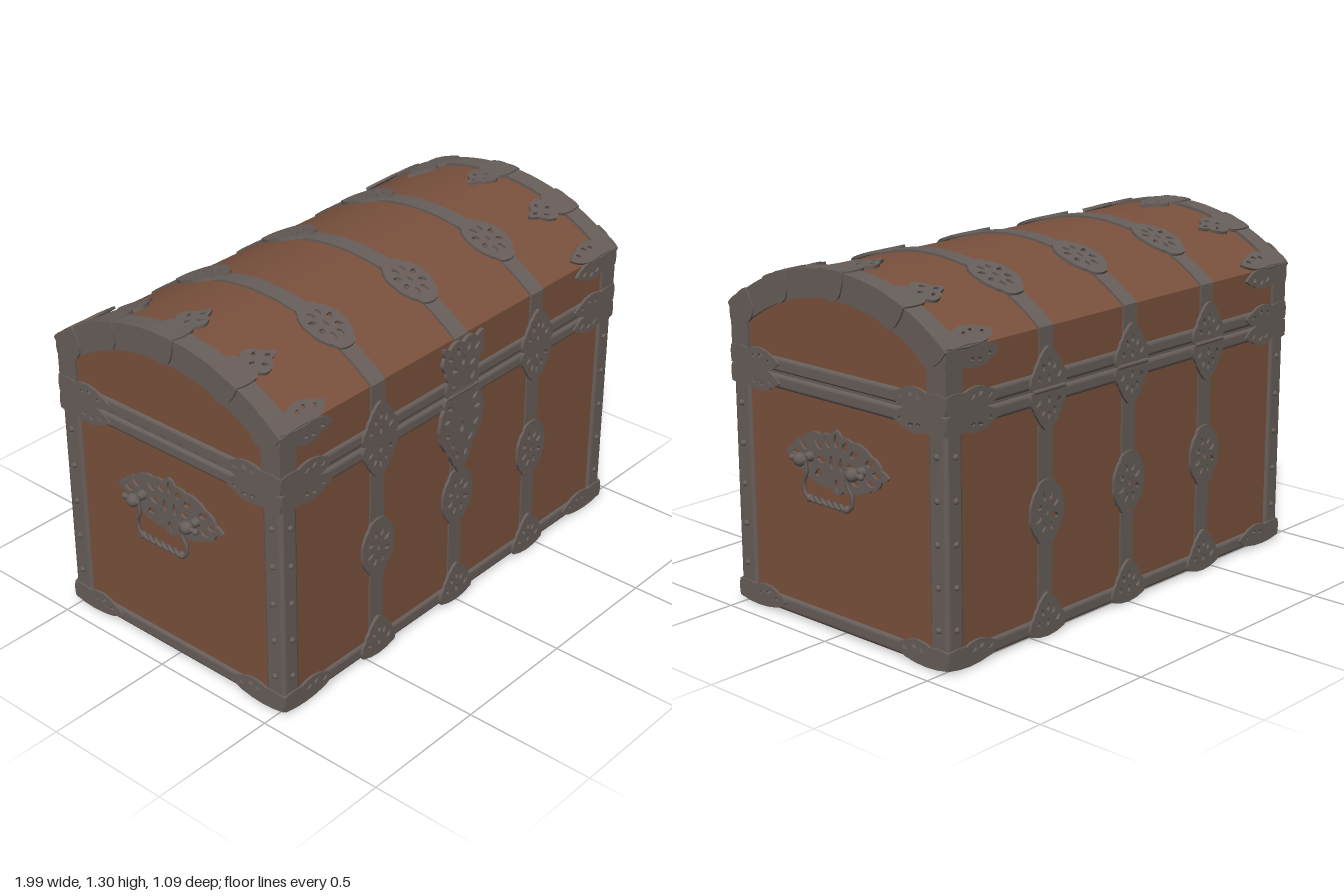
import * as THREE from 'three';
import { toCreasedNormals } from 'three/addons/utils/BufferGeometryUtils.js';
import { RoundedBoxGeometry } from 'three/addons/geometries/RoundedBoxGeometry.js';

const wood = new THREE.MeshStandardMaterial({ color: 0x7a513d });
wood.name = 'brown wood';
const metal = new THREE.MeshStandardMaterial({ color: 0x675e5a });
metal.name = 'grey iron';

const ARCH_Y = 0.456, ARCH_R = 0.83; // centre and radius of the lid arch

function add(parent, name, geo, mat, x = 0, y = 0, z = 0) {
  const m = new THREE.Mesh(geo, mat);
  m.name = name;
  m.position.set(x, y, z);
  parent.add(m);
  return m;
}

// Closed outline whose edges swell into scallops
function scallop(pts, bulge = 0.2, Type = THREE.Shape) {
  const v = pts.map(p => new THREE.Vector2(...p));
  const k = bulge * Math.sign(THREE.ShapeUtils.area(v));
  const s = new Type();
  s.moveTo(v[0].x, v[0].y);
  v.forEach((a, i) => {
    const b = v[(i + 1) % v.length], dx = b.x - a.x, dy = b.y - a.y;
    s.quadraticCurveTo((a.x + b.x) / 2 + dy * k, (a.y + b.y) / 2 - dx * k, b.x, b.y);
  });
  return s;
}
// Mirror a right-hand outline (bottom to top) across x = 0
const mirrored = pts => [...pts, ...pts.slice().reverse().filter(p => p[0] > 0).map(([x, y]) => [-x, y])];

// Pierced plate; each hole is [x, y, angle, length, width]
function plate(outline, holes, depth = 0.011, bulge = 0.2) {
  const shape = scallop(outline, bulge);
  for (const [x, y, a, l, w] of holes) {
    const c = Math.cos(a), s = Math.sin(a);
    const pts = [[l / 2, 0], [-l * 0.15, w / 2], [-l / 2, 0], [-l * 0.15, -w / 2]]
      .map(([p, q]) => [x + p * c - q * s, y + p * s + q * c]);
    shape.holes.push(scallop(pts, 0.2, THREE.Path));
  }
  return toCreasedNormals(new THREE.ExtrudeGeometry(shape, { depth, bevelEnabled: false, curveSegments: 4 }), 0.6);
}

// Lid cross-section: straight sides under an arch
function archPath(hw, r, y0, Type = THREE.Shape) {
  const a = Math.asin(hw / r), s = new Type();
  s.moveTo(hw, y0);
  for (let i = 0; i <= 32; i++) {
    const t = a - (2 * a * i) / 32;
    s.lineTo(r * Math.sin(t), ARCH_Y + r * Math.cos(t));
  }
  s.lineTo(-hw, y0);
  s.closePath();
  return s;
}
function lidSlice(shape, width) {
  const g = new THREE.ExtrudeGeometry(shape, { depth: width, bevelEnabled: false });
  g.translate(0, 0, -width / 2).rotateY(Math.PI / 2);
  return toCreasedNormals(g, 0.4);
}

// Ornament plates
const ring = (n, rx, ry, l, w) => Array.from({ length: n }, (_, i) => {
  const t = ((i + 0.5) / n) * Math.PI * 2;
  return [rx * Math.cos(t), ry * Math.sin(t), Math.atan2(ry * Math.sin(t), rx * Math.cos(t)), l, w];
});
const rosette = () => plate(mirrored([[0.034, -0.11], [0.05, -0.085], [0.07, -0.06], [0.082, 0], [0.07, 0.06], [0.05, 0.085], [0.034, 0.11]]),
  [...ring(8, 0.047, 0.06, 0.034, 0.02), [0, 0.0, Math.PI / 2, 0.03, 0.014]]);
const fan = dir => plate(mirrored([[0.085, 0], [0.088, 0.035], [0.07, 0.065], [0.052, 0.095], [0.034, 0.12], [0, 0.145]]).map(([x, y]) => [x, y * dir]),
  [[0, 0.09], [0.028, 0.075], [-0.028, 0.075], [0.052, 0.04], [-0.052, 0.04], [0, 0.035]].map(([x, y]) =>
    [x, y * dir, Math.atan2(y * dir, x), 0.03, 0.016]));
const halfLeaf = (sx, sy) => plate([[0, 0], [0.2, 0], [0.25, 0.032], [0.205, 0.055], [0.17, 0.07], [0.12, 0.072], [0.085, 0.062], [0, 0.062]]
  .map(([x, y]) => [x * sx, y * sy]), [[0.2, 0.034], [0.155, 0.048], [0.12, 0.042]].map(([x, y]) => [x * sx, y * sy, 0.4 * sx * sy, 0.026, 0.014]), 0.01, 0.12);
const finger = sx => plate([[0, -0.058], [0.09, -0.058], [0.11, -0.042], [0.14, -0.06], [0.18, -0.045], [0.2, -0.02], [0.24, 0],
  [0.2, 0.02], [0.18, 0.045], [0.14, 0.06], [0.11, 0.042], [0.09, 0.058], [0, 0.058]].map(([x, y]) => [x * sx, y]),
  [[0.2, 0, 0], [0.16, 0.028, 0.5], [0.16, -0.028, -0.5], [0.125, 0, 0]].map(([x, y, a]) => [x * sx, y, a, 0.028, 0.014]), 0.012, 0.12);
const tab = () => plate(mirrored([[0, -0.1], [0.034, -0.088], [0.05, -0.055], [0.058, 0.004], [0, 0.007]]), [], 0.009, 0.12);

// Pierced back plate, bosses and twisted bail, facing local +z
function handle() {
  const g = new THREE.Group();
  g.name = 'handle';
  const holes = [[0.2, 0, 0], [0.165, 0.035, 0.4], [0.165, -0.035, -0.4], [0.09, 0.05, 0.5], [0.09, -0.05, -0.5], [0.075, 0, 0], [0.045, 0.068, 1]]
    .flatMap(([x, y, a]) => [[x, y, a, 0.046, 0.025], [-x, y, Math.PI - a, 0.046, 0.025]]);
  for (const h of [[0.024, 0, 1.57], [-0.024, 0, 1.57], [0, 0.08, 1.57], [0, -0.08, -1.57]]) holes.push([...h, 0.05, 0.022]);
  add(g, 'handlePlate', plate(mirrored([[0, -0.115], [0.03, -0.095], [0.08, -0.09], [0.13, -0.078], [0.17, -0.06], [0.205, -0.045],
    [0.22, -0.02], [0.255, 0], [0.22, 0.02], [0.205, 0.045], [0.17, 0.06], [0.13, 0.085], [0.08, 0.09], [0.03, 0.095], [0, 0.12]]), holes), metal);
  for (const s of [-1, 1]) {
    const post = add(g, 'handlePost', new THREE.CylinderGeometry(0.012, 0.02, 0.06, 12), metal, s * 0.13, 0, 0.03);
    post.rotation.x = Math.PI / 2;
    add(g, 'handleBoss', new THREE.SphereGeometry(0.025, 14, 10), metal, s * 0.13, 0, 0.058);
    const pin = add(g, 'handlePin', new THREE.CylinderGeometry(0.009, 0.009, 0.07, 10), metal, s * 0.135, 0, 0.058);
    pin.rotation.z = Math.PI / 2;
    add(g, 'handlePinEnd', new THREE.SphereGeometry(0.012, 10, 8), metal, s * 0.172, 0, 0.058);
    const arm = new THREE.CatmullRomCurve3([[0.105, 0.005, 0.058], [0.102, -0.04, 0.056], [0.12, -0.085, 0.052], [0.112, -0.125, 0.05], [0.088, -0.133, 0.05]]
      .map(([x, y, z]) => new THREE.Vector3(s * x, y, z)));
    add(g, 'bailArm', new THREE.TubeGeometry(arm, 20, 0.007, 8), metal);
    add(g, 'bailCollar', new THREE.SphereGeometry(0.014, 10, 8), metal, s * 0.093, -0.133, 0.05);
    // One strand of the twisted grip
    const strand = Array.from({ length: 41 }, (_, i) => {
      const t = i / 40, a = t * Math.PI * 6 + (s > 0 ? Math.PI : 0);
      return new THREE.Vector3(-0.095 + 0.19 * t, -0.133 + 0.006 * Math.cos(a), 0.05 + 0.006 * Math.sin(a));
    });
    add(g, 'twistedGrip', new THREE.TubeGeometry(new THREE.CatmullRomCurve3(strand), 60, 0.0075, 7), metal);
  }
  return g;
}

export function createModel() {
  const chest = new THREE.Group();
  chest.name = 'chest';

  // Wooden body and lid
  add(chest, 'body', new THREE.BoxGeometry(1.83, 0.87, 1.03), wood, 0, 0.445, 0);
  add(chest, 'bottomBoard', new THREE.BoxGeometry(1.82, 0.02, 1.02), wood, 0, 0.013, 0);
  add(chest, 'lid', lidSlice(archPath(0.515, 0.822, 0.895), 1.83), wood);

  // Rails around the base and along both sides of the opening
  for (const [name, y0, y1] of [['baseRail', 0.006, 0.065], ['bodyRail', 0.828, 0.883], ['lidRail', 0.89, 0.945]])
    add(chest, name, new RoundedBoxGeometry(1.85, y1 - y0, 1.05, 3, 0.016), metal, 0, (y0 + y1) / 2, 0);
  add(chest, 'seam', new THREE.BoxGeometry(1.83, 0.02, 1.03), metal, 0, 0.886, 0);

  // Corner posts, underside corner patches and arched end rims
  for (const sx of [-1, 1]) {
    for (const sz of [-1, 1]) {
      add(chest, 'cornerPost', new RoundedBoxGeometry(0.08, 0.86, 0.087, 3, 0.016), metal, sx * 0.885, 0.445, sz * 0.4815);
      const start = Math.atan2(-sx, -sz) - Math.PI / 4 ;
      const quarter = Math.round(start / (Math.PI / 2)) * (Math.PI / 2);
      add(chest, 'cornerPatch', new THREE.CylinderGeometry(0.15, 0.15, 0.006, 12, 1, false, quarter, Math.PI / 2), metal, sx * 0.915, 0.003, sz * 0.515);
    }
    const rim = archPath(0.526, 0.834, 0.9);
    rim.holes.push(archPath(0.44, 0.734, 0.92, THREE.Path));
    add(chest, 'archRim', lidSlice(rim, 0.077), metal, sx * 0.8875, 0, 0);
  }

  // Straps with rosettes over the arch
  for (const x of [-0.44, 0, 0.44]) {
    add(chest, 'bodyStrap', new THREE.BoxGeometry(0.07, 0.86, 1.044), metal, x, 0.445, 0);
    add(chest, 'lidStrap', lidSlice(archPath(0.523, 0.83, 0.895), 0.07), metal, x);
    for (const a of [-0.352, 0.352]) {
      const geo = rosette(), p = geo.attributes.position;
      for (let i = 0; i < p.count; i++) p.setZ(i, p.getZ(i) - p.getY(i) ** 2 / (2 * ARCH_R));
      const m = add(chest, 'archRosette', geo, metal, x, ARCH_Y + 0.828 * Math.cos(a), 0.828 * Math.sin(a));
      m.rotation.x = a - Math.PI / 2;
    }
  }

  // Leaf fingers reaching in from the ends of the arch
  for (const s of [-1, 1]) {
    for (const a of [-0.355, 0, 0.355]) {
      const m = add(chest, 'archFinger', finger(-s), metal, s * 0.926, ARCH_Y + 0.826 * Math.cos(a), 0.826 * Math.sin(a));
      m.rotation.x = a - Math.PI / 2;
    }
    for (const f of [-1, 1]) {
      const a = f * 0.675;
      const m = add(chest, 'shoulderLeaf', halfLeaf(-s, f), metal, s * 0.926, ARCH_Y + 0.828 * Math.cos(a), 0.828 * Math.sin(a));
      m.rotation.x = a - Math.PI / 2;
    }
  }

  // Fittings of each wall, built facing +z and turned into place
  for (let k = 0; k < 4; k++) {
    const end = k % 2 === 1, half = end ? 0.525 : 0.925, d = end ? 0.925 : 0.525;
    const wall = new THREE.Group();
    wall.name = ['frontFittings', 'leftFittings', 'backFittings', 'rightFittings'][k];
    wall.rotation.y = (k * Math.PI) / 2;
    chest.add(wall);
    for (const s of [-1, 1]) {
      add(wall, 'baseLeaf', halfLeaf(-s, 1), metal, s * half, 0.012, d - 0.004);
      add(wall, 'bodyLeaf', halfLeaf(-s, -1), metal, s * half, 0.883, d - 0.004);
      add(wall, 'lidLeaf', halfLeaf(-s, 1), metal, s * half, 0.89, d - 0.004);
      if (!end) add(wall, 'shoulderLeaf', halfLeaf(-s, -1), metal, s * half, 1.1, d - 0.006);
      for (let i = 0; i < 5; i++) add(wall, 'rivet', new THREE.SphereGeometry(0.011, 10, 8), metal, s * (half - 0.042), 0.145 + i * 0.15, d);
    }
    if (end) {
      for (const a of [-0.62, -0.355, 0, 0.355, 0.62]) {
        const m = add(wall, 'archTab', tab(), metal, -Math.sin(a) * 0.83, ARCH_Y + 0.83 * Math.cos(a), d - 0.001);
        m.rotation.z = a;
      }
      const h = handle();
      h.position.set(0, 0.62, 0.914);
      wall.add(h);
    } else {
      for (const x of [-0.44, 0, 0.44]) {
        add(wall, 'wallRosette', rosette(), metal, x, 0.45, d - 0.006);
        add(wall, 'baseFan', fan(1), metal, x, 0.012, d);
        if (k === 0 && x === 0) continue;
        add(wall, 'bodyFan', fan(-1), metal, x, 0.883, d);
        add(wall, 'lidFan', fan(1), metal, x, 0.89, d);
      }
    }
  }

  // Lock plate and hasp
  const pierce = list => list.flatMap(([x, y, a]) => [[x, y, a, 0.036, 0.018], [-x, y, Math.PI - a, 0.036, 0.018]]);
  add(chest, 'lockPlate', plate(mirrored([[0, -0.335], [0.025, -0.3], [0.05, -0.265], [0.065, -0.225], [0.1, -0.19], [0.118, -0.14], [0.118, -0.08], [0.1, -0.035], [0.095, 0]]),
    [...pierce([[0.08, -0.15, 0.6], [0.085, -0.09, 0], [0.07, -0.04, 0.6], [0.05, -0.2, 0.8], [0.025, -0.25, 1.2]]), [0, -0.14, 1.57, 0.05, 0.024]], 0.014), metal, 0, 0.883, 0.525);
  add(chest, 'hasp', plate(mirrored([[0.085, 0], [0.082, 0.06], [0.09, 0.1], [0.115, 0.135], [0.1, 0.165], [0.11, 0.2], [0.075, 0.185], [0.04, 0.205], [0, 0.19]]),
    [...pierce([[0.055, 0.04, 0.8], [0.05, 0.095, 0.3], [0.075, 0.15, 0.6], [0.03, 0.165, 1.2]]), [0, 0.12, 1.57, 0.04, 0.02]], 0.014), metal, 0, 0.89, 0.523);

  // Hinge barrels behind and the lock pin in front
  for (const [x, z, l] of [[-0.44, -0.535, 0.16], [0, -0.535, 0.16], [0.44, -0.535, 0.16], [0, 0.535, 0.16]])
    add(chest, 'hingeBarrel', new THREE.CylinderGeometry(0.008, 0.008, l, 10), metal, x, 0.8865, z).rotation.z = Math.PI / 2;

  return chest;
}
